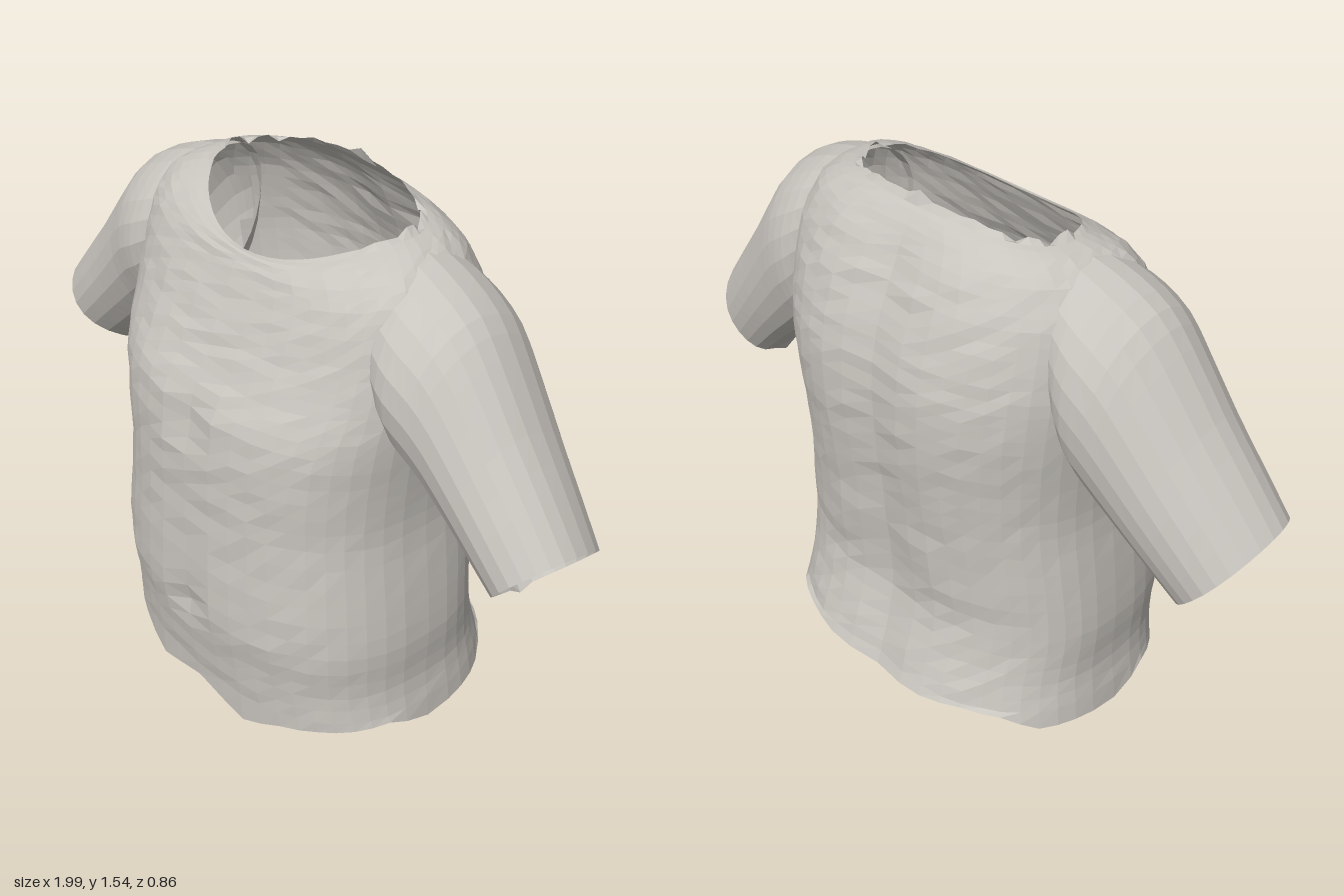
import * as THREE from 'three';

const fabric = new THREE.MeshStandardMaterial({ color: 0xc8c4be, flatShading: true, side: THREE.DoubleSide });
fabric.name = 'light grey fabric';

// Profile rows, bottom to neck: half width, front z, back z, front y, side y, back y
const TORSO = [
  [0.55, 0.395, -0.44, 0.05, 0.07, 0.10],
  [0.53, 0.41, -0.405, 0.20, 0.20, 0.20],
  [0.535, 0.43, -0.365, 0.35, 0.35, 0.35],
  [0.52, 0.425, -0.375, 0.52, 0.52, 0.52],
  [0.50, 0.415, -0.39, 0.70, 0.70, 0.70],
  [0.505, 0.412, -0.405, 0.85, 0.85, 0.85],
  [0.52, 0.395, -0.415, 0.99, 1.00, 1.00],
  [0.53, 0.345, -0.405, 1.09, 1.11, 1.12],
  [0.53, 0.30, -0.38, 1.18, 1.22, 1.22],
  [0.52, 0.262, -0.34, 1.27, 1.33, 1.33],
  [0.475, 0.23, -0.295, 1.34, 1.42, 1.42],
  [0.41, 0.21, -0.245, 1.38, 1.465, 1.48],
  [0.34, 0.195, -0.20, 1.385, 1.485, 1.51],
];

// Sleeve rows, armhole to cuff: top x, top y, bottom x, bottom y, front z, back z
const SLEEVE = [
  [0.36, 1.472, 0.46, 1.02, 0.15, -0.19],
  [0.44, 1.456, 0.48, 0.97, 0.182, -0.23],
  [0.52, 1.43, 0.51, 0.915, 0.195, -0.25],
  [0.615, 1.38, 0.54, 0.88, 0.188, -0.245],
  [0.69, 1.295, 0.59, 0.84, 0.175, -0.232],
  [0.80, 1.145, 0.68, 0.77, 0.165, -0.21],
  [0.90, 1.02, 0.74, 0.72, 0.16, -0.19],
  [0.995, 0.90, 0.80, 0.67, 0.155, -0.17],
];

// Hem height every 15 degrees, front centre to back centre
const HEM = [0.05, 0, 0.05, 0.07, 0.08, 0.09, 0.045, 0.055, 0.06, 0.11, 0.12, 0.10, 0.09];

const bump = (v, centre, width) => Math.exp(-(((v - centre) / width) ** 2));
const power = (v, p) => Math.sign(v) * Math.abs(v) ** p;
const wrinkle = (i, j) => {
  const s = Math.sin(i * 127.1 + j * 311.7) * 43758.5453;
  return s - Math.floor(s) - 0.5;
};

// Smooth interpolation through table rows, t from 0 to 1
function sample(table, t) {
  const f = t * (table.length - 1);
  const i = Math.min(Math.floor(f), table.length - 2);
  const k = f - i;
  return table[0].map((_, c) => {
    const b = table[i][c], d = table[i + 1][c];
    const a = i > 0 ? table[i - 1][c] : 2 * b - d;
    const e = i + 2 < table.length ? table[i + 2][c] : 2 * d - b;
    return b + 0.5 * k * (d - a + k * (2 * a - 5 * b + 4 * d - e + k * (3 * (b - d) + e - a)));
  });
}

// Open tube of closed loops; quads for which skip() is true are left out
function loft(name, rows, cols, point, skip = () => false) {
  const pos = [], index = [];
  for (let i = 0; i <= rows; i++)
    for (let j = 0; j < cols; j++) pos.push(...point(i, j));
  for (let i = 0; i < rows; i++)
    for (let j = 0; j < cols; j++) {
      const k = (j + 1) % cols;
      const a = i * cols + j, b = i * cols + k, c = b + cols, d = a + cols;
      const mid = [0, 1, 2].map(n => (pos[a * 3 + n] + pos[b * 3 + n] + pos[c * 3 + n] + pos[d * 3 + n]) / 4);
      if (!skip(...mid)) index.push(a, b, c, a, c, d);
    }
  const geo = new THREE.BufferGeometry();
  geo.setAttribute('position', new THREE.Float32BufferAttribute(pos, 3));
  geo.setIndex(index);
  geo.computeVertexNormals();
  const mesh = new THREE.Mesh(geo, fabric);
  mesh.name = name;
  return mesh;
}

function torso() {
  const rows = 36, cols = 48;
  const point = (i, j) => {
    const t = i / rows;
    const [w, zf, zb, yF, yS, yB] = sample(TORSO, t);
    const th = (j / cols) * Math.PI * 2, s = Math.sin(th), c = Math.cos(th);
    const front = c > 0;
    // Boxy body that turns rounder and leans back towards the neck
    const neck = THREE.MathUtils.smoothstep(t, 0.8, 1);
    const p = 2 / (2.5 - 0.5 * neck);
    const x = w * power(s, p);
    let z = (front ? zf : -zb) * power(c, p) - 0.04 * neck * s * s;
    let y = yS + ((front ? yF : yB) - yS) * c * c;
    // Chest cleft, navel and spine groove
    if (front) z -= 0.02 * bump(x, 0, 0.04) * (bump(y, 0.95, 0.08) + bump(y, 0.35, 0.05));
    else z += 0.025 * bump(x, 0, 0.1) * (1 - neck);
    // Cloth folds, same on both sides
    const m = Math.min(j, cols - j);
    if (i > 0) {
      z += 0.007 * wrinkle(i, m) * c * (1 - neck);
      y += 0.008 * wrinkle(m, i + 7) * (1 - neck);
    }
    // Ragged hem and neckline
    if (i === 0) {
      const f = (m / (cols / 2)) * 12, n = Math.min(Math.floor(f), 11);
      y = HEM[n] + (HEM[n + 1] - HEM[n]) * (f - n);
    }
    if (i === rows && m > 7) y += 0.03 * wrinkle(m, 3);
    if (i === rows && m === cols / 2) y = 1.54;
    return [x, y, z];
  };
  // Armholes are left open beneath the sleeves
  const armhole = (x, y, z) =>
    Math.abs(x) > 0.4 && ((y - 1.18) / 0.21) ** 2 + ((z + 0.03) / 0.18) ** 2 < 1;
  return loft('torso', rows, cols, point, armhole);
}

function sleeve(side) {
  const rows = 14, cols = 24;
  const point = (i, j) => {
    const t = i / rows;
    const [tx, ty, bx, by, zf, zb] = sample(SLEEVE, t);
    const a = (side * j / cols) * Math.PI * 2;
    const k = (1 - Math.cos(a)) / 2, s = Math.sin(a);
    // Shoulder ridge and underarm sit slightly behind the middle
    const z = (s > 0 ? zf : -zb) * s - 0.045 * (1 - s * s) * (1 - t * (1 - k));
    const x = tx + (bx - tx) * k;
    let y = ty + (by - ty) * k + 0.2 * z * t;
    // Torn corner under the cuff
    if (i === rows && j === cols / 2) y -= 0.02;
    return [side * x, y, z];
  };
  return loft(side > 0 ? 'leftSleeve' : 'rightSleeve', rows, cols, point);
}

export function createModel() {
  const shirt = new THREE.Group();
  shirt.name = 'shirt';
  shirt.add(torso(), sleeve(1), sleeve(-1));
  return shirt;
}
